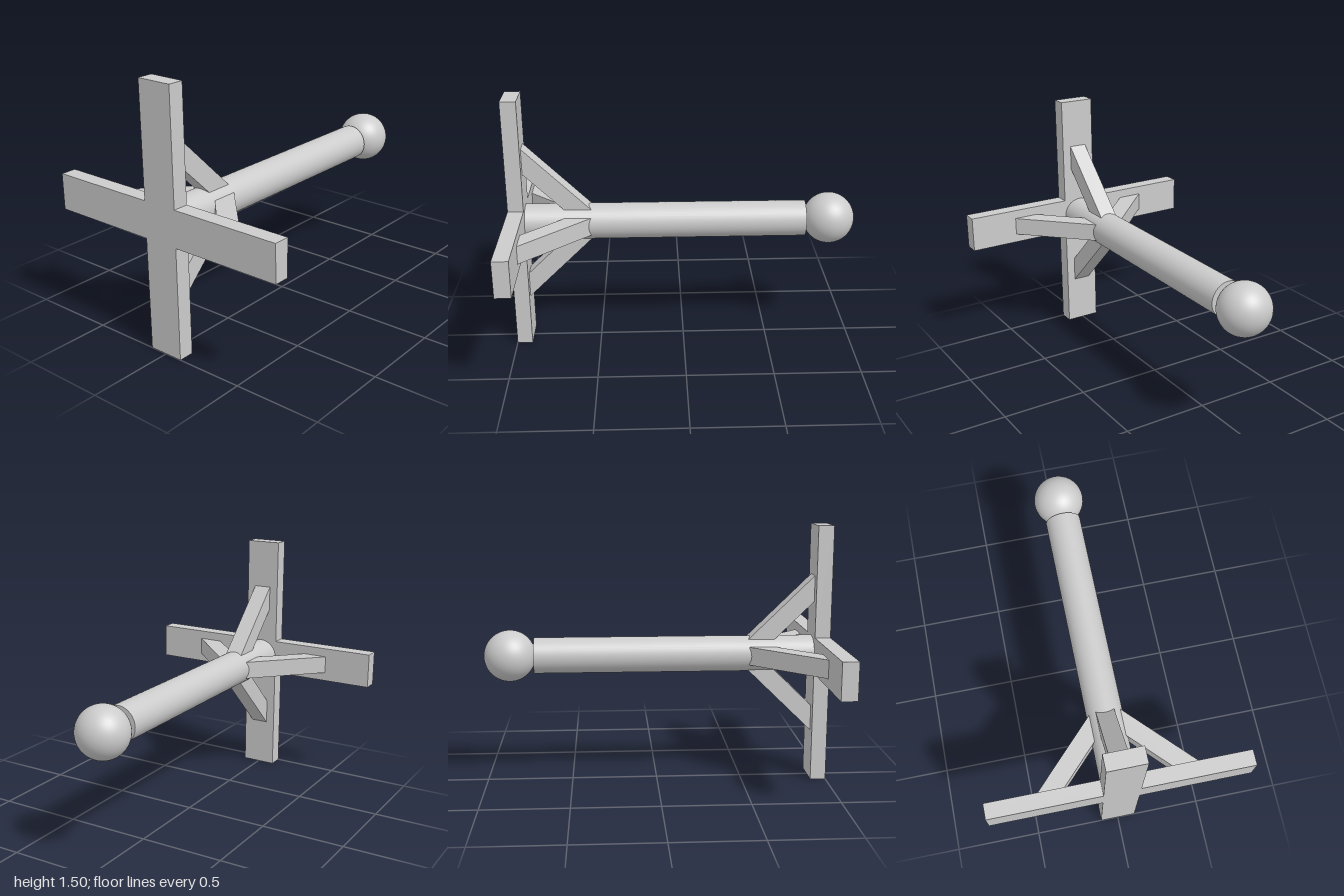
import * as THREE from 'three';

const CENTRE_Y = 0.75;
const BACK_OF_CROSS = 0.91;

function polygon(points) {
  return new THREE.Shape(points.map(([x, y]) => new THREE.Vector2(x, y)));
}

export function createModel() {
  const model = new THREE.Group();
  const smooth = new THREE.MeshStandardMaterial({ color: 0xcccccc });
  const flat = new THREE.MeshStandardMaterial({ color: 0xcccccc, flatShading: true });

  const add = (name, geometry, material) => {
    const mesh = new THREE.Mesh(geometry, material);
    mesh.name = name;
    mesh.position.y = CENTRE_Y;
    model.add(mesh);
    return mesh;
  };

  // Upright cross: one twelve-cornered outline, four equal arms
  const w = 0.105, l = 0.75;
  const outline = polygon([
    [w, -l], [w, -w], [l, -w], [l, w], [w, w], [w, l],
    [-w, l], [-w, w], [-l, w], [-l, -w], [-w, -w], [-w, -l],
  ]);
  const cross = new THREE.ExtrudeGeometry(outline, { depth: 1 - BACK_OF_CROSS, bevelEnabled: false });
  add('cross', cross.translate(0, 0, BACK_OF_CROSS), flat);

  // Round pole running backwards from the cross
  const poleEnd = -0.71;
  const pole = new THREE.CylinderGeometry(0.104, 0.104, BACK_OF_CROSS - poleEnd, 48);
  pole.rotateX(Math.PI / 2).translate(0, 0, (BACK_OF_CROSS + poleEnd) / 2);
  add('pole', pole, smooth);

  // Ball on the far end of the pole
  add('ball', new THREE.SphereGeometry(0.149, 48, 32).translate(0, 0, -0.851), smooth);

  // Diagonal braces, one per arm; their inner ends are sunk into the pole
  const braceWidth = 0.105;
  const side = polygon([[0.31, BACK_OF_CROSS], [0.07, 0.664], [0.07, 0.51], [0.46, BACK_OF_CROSS]]);
  const brace = new THREE.ExtrudeGeometry(side, { depth: braceWidth, bevelEnabled: false });
  brace.translate(0, 0, -braceWidth / 2).rotateX(Math.PI / 2);
  ['leftBrace', 'topBrace', 'rightBrace', 'bottomBrace'].forEach((name, i) => {
    add(name, brace, flat).rotation.z = (i * Math.PI) / 2;
  });

  return model;
}
